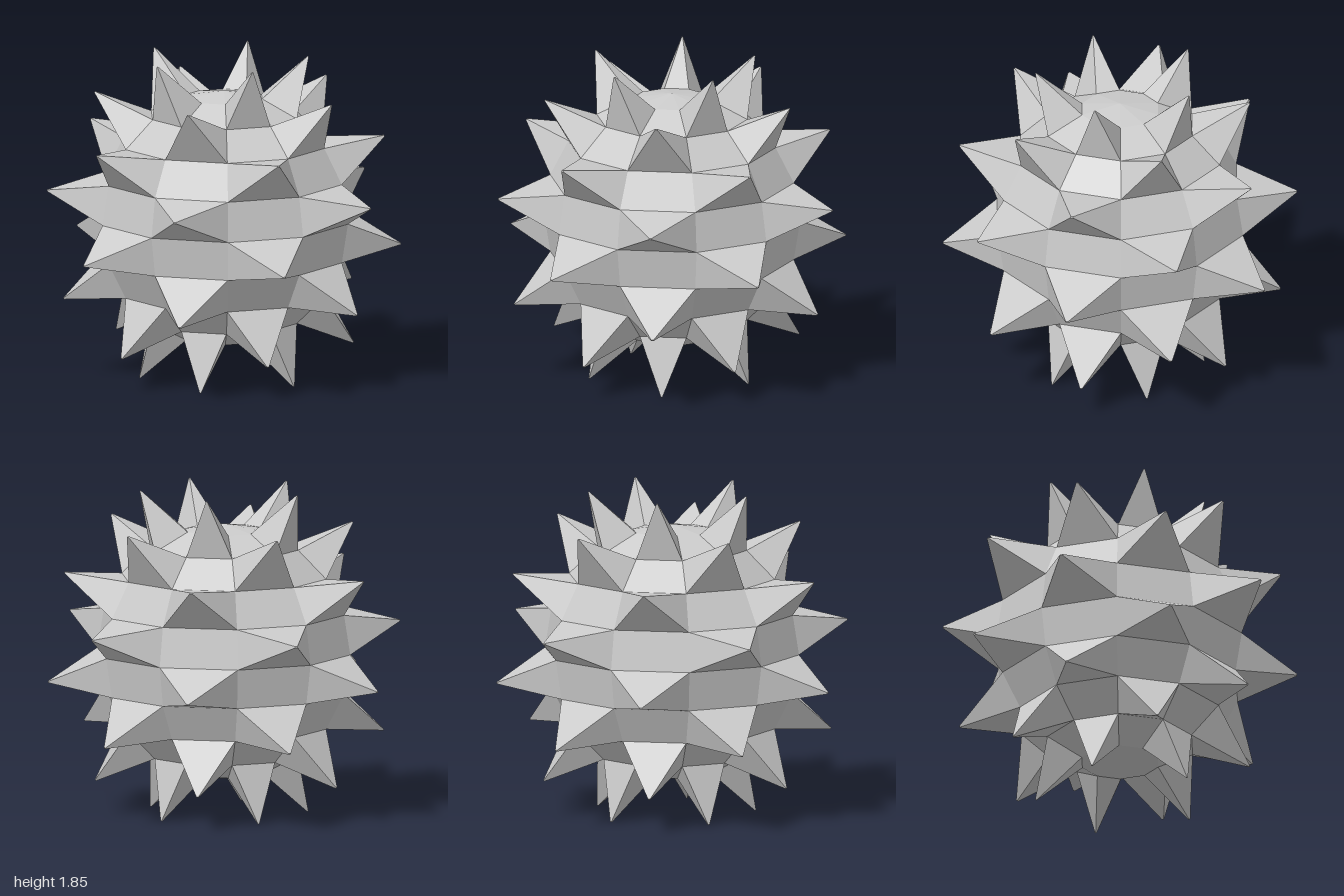
import * as THREE from 'three';

const R = 0.728, CENTRE = 0.93, STEP = Math.PI / 10, BLUNT = 0.035;
const material = new THREE.MeshStandardMaterial({ color: 0xcccccc, flatShading: true });

// Spike tips for the four bands from the equator to the cap: [radius, height from centre]
const TIPS = [[0.998, 0.16], [0.905, 0.463], [0.73, 0.726], [0.475, 0.922]];

// Point of the ball at a given angle from the front and a given latitude
function ballPoint(angle, lat) {
  return new THREE.Vector3(
    R * Math.cos(lat) * Math.sin(angle), R * Math.sin(lat), R * Math.cos(lat) * Math.cos(angle));
}

// Four-sided spike standing on one ball facet, with a tiny blunt tip
function spikeGeometry(band, sign) {
  const lats = [band * STEP * sign, (band + 1) * STEP * sign].sort((a, b) => a - b);
  const base = [[-1, 0], [1, 0], [1, 1], [-1, 1]].map(([s, l]) => ballPoint(s * STEP, lats[l]));
  const middle = base.reduce((sum, p) => sum.add(p), new THREE.Vector3()).divideScalar(4);
  const [r, h] = TIPS[band];
  const apex = new THREE.Vector3(0, h * sign, r);
  const tip = base.map((p) => p.clone().sub(middle).multiplyScalar(BLUNT).add(apex));
  const points = [];
  const quad = (a, b, c, d) => points.push(a, b, c, a, c, d);
  for (let i = 0; i < 4; i++) {
    const j = (i + 1) % 4;
    quad(base[i], base[j], tip[j], tip[i]);
  }
  quad(...tip);
  const geometry = new THREE.BufferGeometry().setFromPoints(points);
  geometry.computeVertexNormals();
  return geometry;
}

export function createModel() {
  const model = new THREE.Group();
  model.name = 'spikyBall';

  // Faceted ball with ten sides and ten bands
  const ball = new THREE.Mesh(new THREE.SphereGeometry(R, 10, 10), material);
  ball.name = 'ball';
  ball.position.y = CENTRE;
  model.add(ball);

  // Five spikes per band, in a checkerboard over the facets
  for (const sign of [1, -1]) {
    for (let band = 0; band < 4; band++) {
      const ring = new THREE.Group();
      ring.name = (sign > 0 ? 'upper' : 'lower') + 'SpikeRing' + (band + 1);
      ring.position.y = CENTRE;
      const geometry = spikeGeometry(band, sign);
      const first = (band % 2 === 1) === (sign > 0) ? 0 : 1;
      for (let column = first; column < 10; column += 2) {
        const spike = new THREE.Mesh(geometry, material);
        spike.name = 'spike';
        spike.rotation.y = column * 2 * STEP;
        ring.add(spike);
      }
      model.add(ring);
    }
  }
  return model;
}
